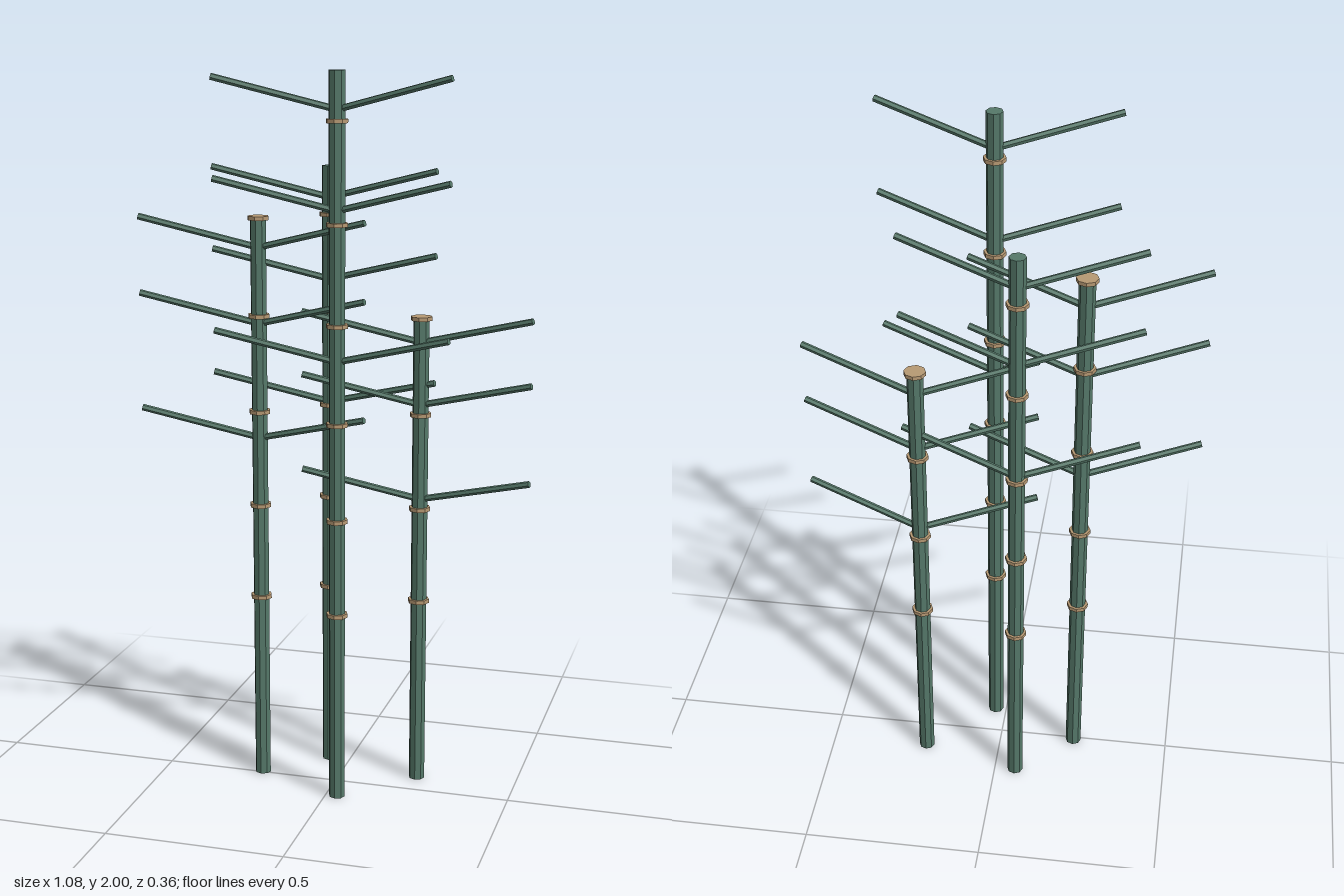
import * as THREE from 'three';

export function createModel() {
  const model = new THREE.Group();
  model.name = 'bambooGrove';
  const green = new THREE.MeshStandardMaterial({ color: 0x56796a });
  green.name = 'stalkGreen';
  const tan = new THREE.MeshStandardMaterial({ color: 0xb89a74 });
  tan.name = 'jointTan';

  const facet = (geometry) => {
    const flat = geometry.toNonIndexed();
    flat.computeVertexNormals();
    return flat;
  };
  const add = (parent, geometry, material, name) => {
    const mesh = new THREE.Mesh(geometry, material);
    mesh.name = name;
    parent.add(mesh);
    return mesh;
  };

  const up = new THREE.Vector3(0, 1, 0);
  const jointGeometry = facet(new THREE.CylinderGeometry(0.03, 0.03, 0.011, 8));
  const jointGap = 0.2673;

  // x, z and height of each stalk
  const stalks = [
    [-0.22, -0.008, 1.604],
    [-0.06, -0.155, 1.737],
    [0.032, 0.098, 2],
    [0.218, -0.088, 1.337],
  ];

  for (const [x, z, height] of stalks) {
    const bamboo = new THREE.Group();
    bamboo.name = 'bamboo';
    bamboo.position.set(x, 0, z);
    model.add(bamboo);

    // Upright cane
    const cane = facet(new THREE.CylinderGeometry(0.0225, 0.0225, height, 8));
    add(bamboo, cane, green, 'stalk').position.y = height / 2;

    // Joint rings, evenly spaced, up to the tip
    for (let i = 2; i * jointGap <= height + 0.005; i++) {
      add(bamboo, jointGeometry, tan, 'joint').position.y = i * jointGap;
    }

    // Mirrored pairs of twigs rising forward
    for (const level of [0.62, 0.82, 0.95]) {
      for (const side of [1, -1]) {
        const reach = new THREE.Vector3(side * 0.318, 0.083, 0.073);
        const length = reach.length();
        const twig = add(bamboo, facet(new THREE.CylinderGeometry(0.0092, 0.0092, length, 6)), green, 'twig');
        twig.position.copy(reach).multiplyScalar(0.5);
        twig.position.y += height * level;
        twig.quaternion.setFromUnitVectors(up, reach.normalize());
      }
    }
  }
  return model;
}
